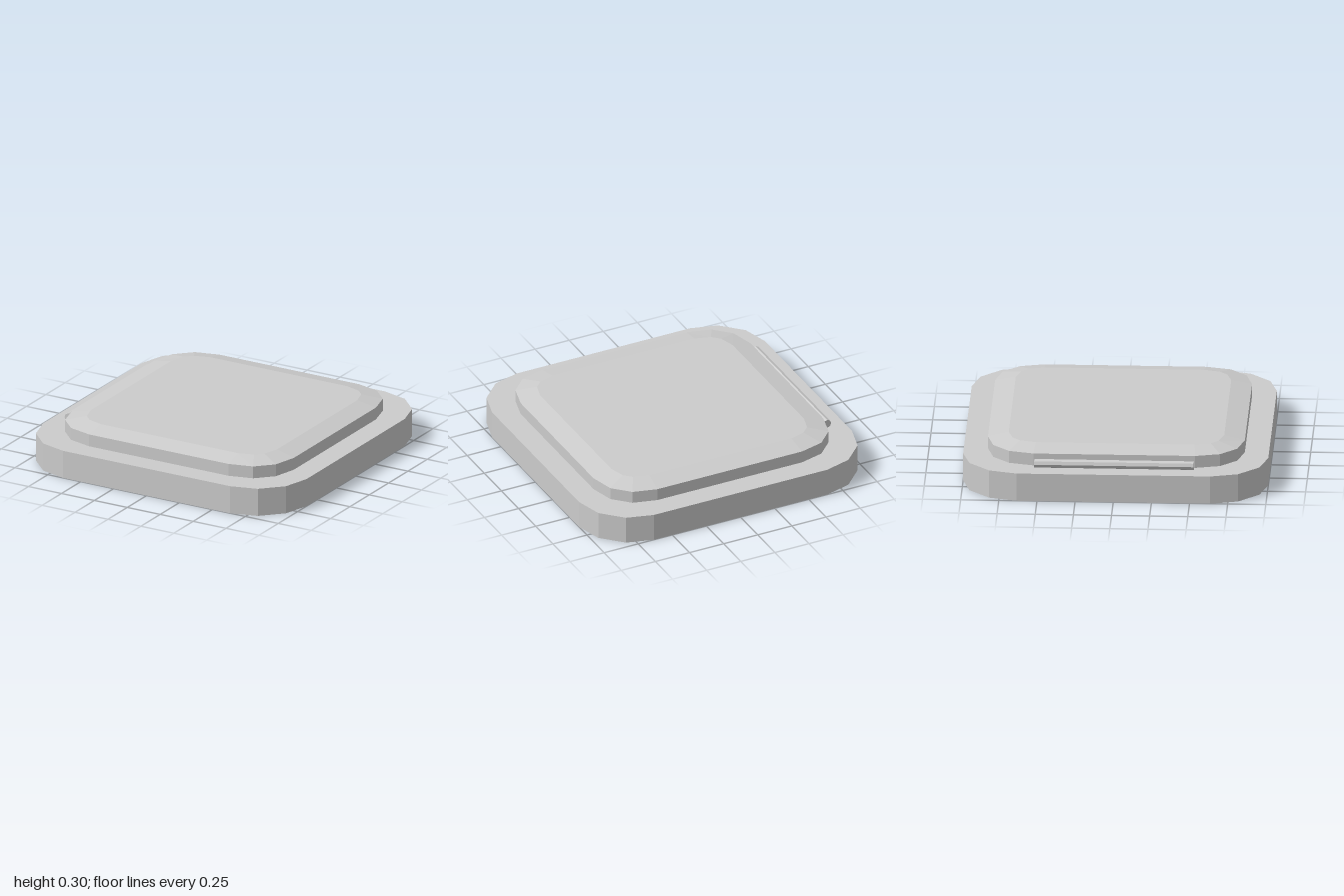
import * as THREE from 'three';

// Rounded-square ring of 16 points at height y. (a, b) ends the straight side,
// (c, d) is the middle corner point; both are mirrored and turned four times.
function ring(y, a, b, c, d) {
  const points = [];
  for (let q = 0; q < 4; q++) {
    for (const [px, pz] of [[a, -b], [a, b], [c, d], [d, c]]) {
      let x = px, z = pz;
      for (let k = 0; k < q; k++) [x, z] = [-z, x];
      points.push(new THREE.Vector3(x, y, z));
    }
  }
  return points;
}

// Flat-sided skin through successive rings, listed from bottom to top on the outside.
function loft(rings) {
  const points = [];
  for (let r = 0; r < rings.length - 1; r++) {
    const low = rings[r], high = rings[r + 1], n = low.length;
    for (let i = 0; i < n; i++) {
      const j = (i + 1) % n;
      if (!high[i].equals(high[j])) points.push(low[i], high[i], high[j]);
      if (!low[i].equals(low[j])) points.push(low[i], high[j], low[j]);
    }
  }
  const geometry = new THREE.BufferGeometry().setFromPoints(points);
  geometry.computeVertexNormals();
  return geometry;
}

export function createModel() {
  const grey = new THREE.MeshStandardMaterial({ color: 0xcccccc, flatShading: true });
  grey.name = 'light grey';
  const model = new THREE.Group();
  model.name = 'hatch';

  const add = (name, geometry) => {
    const mesh = new THREE.Mesh(geometry, grey);
    mesh.name = name;
    model.add(mesh);
    return mesh;
  };

  const outer = [1, 0.635, 0.95, 0.815];
  const inner = [0.842, 0.53, 0.8, 0.692];
  const top = [0.706, 0.52, 0.675, 0.625];
  const centre = [0, 0, 0, 0];

  // Base frame, open in the middle
  add('frame', loft([
    ring(0, ...inner), ring(0, ...outer),
    ring(0.19, ...outer), ring(0.19, ...inner), ring(0, ...inner),
  ]));

  // Lid set into the frame, with a shallow bevel round the top
  add('lid', loft([
    ring(0.11, ...centre), ring(0.11, ...inner),
    ring(0.273, ...inner), ring(0.302, ...top), ring(0.302, ...centre),
  ]));

  // Hinge rod along the right edge of the lid
  const hinge = add('hingeRod', new THREE.CylinderGeometry(0.03, 0.03, 1.045, 8));
  hinge.rotation.x = Math.PI / 2;
  hinge.position.set(-0.874, 0.217, 0);

  return model;
}
